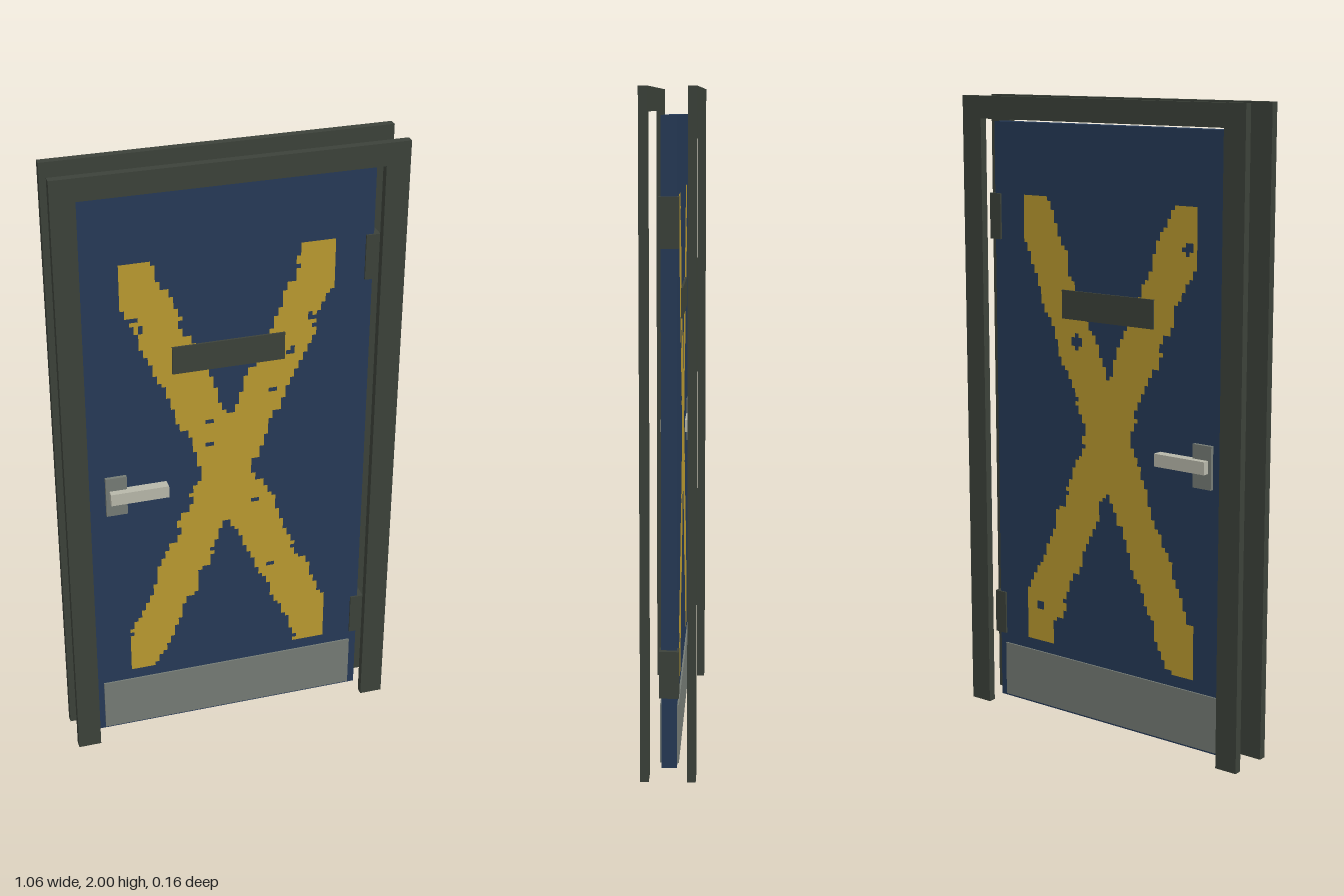
import * as THREE from 'three';

const mat = (name, color) => Object.assign(new THREE.MeshStandardMaterial({ color }), { name });

// Repeatable noise from -1 to 1
function noise(n) {
  const s = Math.sin(n * 127.1 + 11.7) * 43758.5453;
  return (s - Math.floor(s)) * 2 - 1;
}

// Ragged painted cross: rows of small cells, merged into runs
function crossGeometry(seed, holes) {
  const cell = 0.0135, x0 = -0.331, y0 = 0.238, cols = 49, rows = 108;
  const painted = (c, r) => {
    const x = x0 + (c + 0.5) * cell, y = y0 + (r + 0.5) * cell;
    if (holes.some(([hx, hy, size]) => Math.abs(x - hx) + Math.abs(y - hy) < size)) return false;
    return [-1, 1].some((side) => {
      const centre = side * 0.435 * (y - 0.965);
      const step = Math.floor((r + side) / 4) * 5 + side + seed;
      const left = centre - 0.077 + 0.012 * noise(step);
      const right = centre + 0.077 + 0.012 * noise(step + 400);
      return x > left && x < right;
    });
  };
  const pos = [], index = [];
  for (let r = 0; r < rows; r++) {
    for (let c = 0; c < cols; c++) {
      if (!painted(c, r)) continue;
      const start = c;
      while (c < cols && painted(c, r)) c++;
      const a = x0 + start * cell, b = x0 + c * cell;
      const lo = y0 + r * cell, hi = lo + cell, n = pos.length / 3;
      pos.push(a, lo, 0, b, lo, 0, b, hi, 0, a, hi, 0);
      index.push(n, n + 1, n + 2, n, n + 2, n + 3);
    }
  }
  const g = new THREE.BufferGeometry();
  g.setAttribute('position', new THREE.Float32BufferAttribute(pos, 3));
  g.setIndex(index);
  g.computeVertexNormals();
  return g;
}

export function createModel() {
  const root = new THREE.Group();
  root.name = 'door';
  const frameMat = mat('dark frame', 0x3c423a);
  const blue = mat('blue panel', 0x263a57);
  const yellow = mat('yellow paint', 0xbb9a30);
  const steel = mat('dull steel', 0x757b75);
  const pale = mat('pale lever', 0xb8b8aa);

  const add = (name, geometry, material) => {
    const m = new THREE.Mesh(geometry, material);
    m.name = name;
    root.add(m);
    return m;
  };
  // Box from its lower and upper limits
  const box = (name, material, xa, xb, ya, yb, za, zb) => {
    const m = add(name, new THREE.BoxGeometry(xb - xa, yb - ya, zb - za), material);
    m.position.set((xa + xb) / 2, (ya + yb) / 2, (za + zb) / 2);
  };

  // Door leaf and hinges
  box('doorPanel', blue, -0.45, 0.45, 0.013, 1.92, -0.023, 0.023);
  box('upperHinge', frameMat, 0.425, 0.468, 1.55, 1.695, -0.029, 0.029);
  box('lowerHinge', frameMat, 0.425, 0.468, 0.233, 0.375, -0.029, 0.029);

  // Door casing outline, open at the floor
  const outline = [[-0.53, 0], [-0.456, 0], [-0.456, 1.93], [0.456, 1.93],
    [0.456, 0], [0.53, 0], [0.53, 2], [-0.53, 2]];
  const casing = new THREE.ExtrudeGeometry(
    new THREE.Shape(outline.map(([x, y]) => new THREE.Vector2(x, y))),
    { depth: 0.025, bevelEnabled: false });

  // Fittings repeated on both faces
  for (const side of [1, -1]) {
    const label = side > 0 ? 'front' : 'back';
    const fitting = (name, material, xa, xb, ya, yb, depth) =>
      box(label + name, material, xa, xb, ya, yb,
        side > 0 ? 0.022 : -depth, side > 0 ? depth : -0.022);
    add(label + 'Casing', casing, frameMat).position.z = side > 0 ? 0.056 : -0.081;
    fitting('KickPlate', steel, -0.426, 0.426, 0.02, 0.2, 0.028);
    fitting('LetterPlate', frameMat, -0.176, 0.176, 1.32, 1.41, 0.03);
    fitting('HandlePlate', steel, -0.395, -0.328, 0.855, 0.99, 0.034);
    fitting('HandleLever', pale, -0.384, -0.2, 0.905, 0.945, 0.0555);
  }

  // Painted crosses
  const chips = [[-0.29, 1.51], [-0.27, 1.48], [-0.06, 1.14], [-0.06, 1.05], [0.085, 0.825],
    [0.14, 0.565], [0.14, 1.22], [0.2, 1.34], [0.26, 1.45]].map(([x, y]) => [x, y, 0.014]);
  add('frontPaintedCross', crossGeometry(3, chips), yellow).position.z = 0.0245;
  const backChips = [[0.3, 1.57, 0.025], [-0.12, 1.25, 0.025], [-0.28, 0.36, 0.018]];
  const back = add('backPaintedCross', crossGeometry(57, backChips), yellow);
  back.rotation.y = Math.PI;
  back.position.z = -0.0245;

  return root;
}
